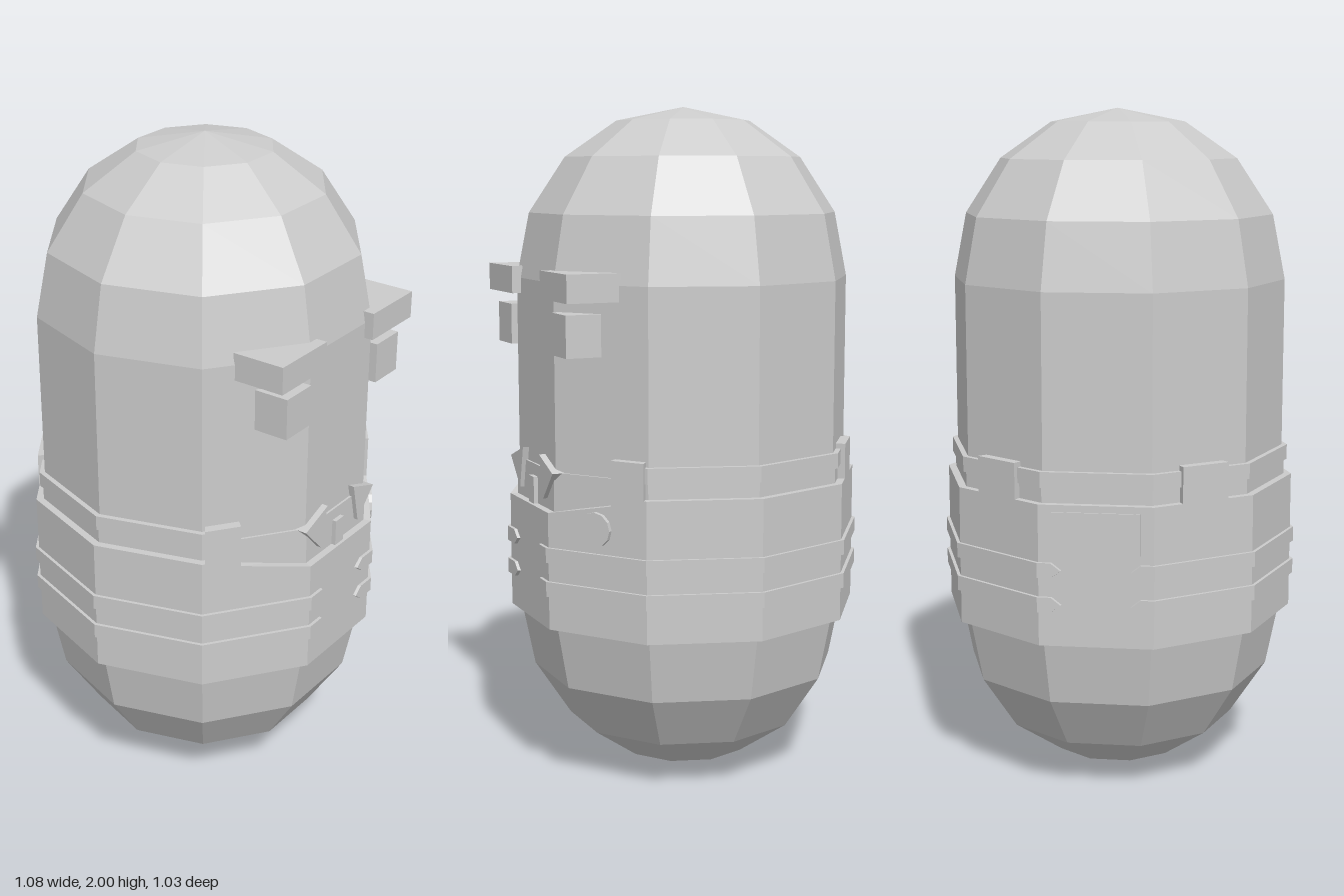
import * as THREE from 'three';

const material = new THREE.MeshStandardMaterial({ color: 0xcccccc, flatShading: true });

function add(group, name, geometry, x = 0, y = 0, z = 0) {
  const mesh = new THREE.Mesh(geometry, material);
  mesh.name = name;
  mesh.position.set(x, y, z);
  group.add(mesh);
  return mesh;
}

// Point on a ten-sided outline; degrees run from the front (+z) towards +x
function onDecagon(deg, radius) {
  const inFace = ((((deg + 18) % 36) + 36) % 36) - 18;
  const d = radius * Math.cos(Math.PI / 10) / Math.cos(THREE.MathUtils.degToRad(inFace));
  const a = THREE.MathUtils.degToRad(deg);
  return [Math.sin(a) * d, Math.cos(a) * d];
}

// Wall wrapped round the decagon; stations are [degrees, bottom, top]
function wrap(stations, inner, outer) {
  const full = [stations[0]];
  for (let i = 1; i < stations.length; i++) {
    const [a0, b0, t0] = stations[i - 1];
    const [a1, b1, t1] = stations[i];
    for (let c = 18 + 36 * Math.ceil((a0 - 18 + 0.01) / 36); c < a1 - 0.01; c += 36) {
      const k = (c - a0) / (a1 - a0);
      full.push([c, b0 + (b1 - b0) * k, t0 + (t1 - t0) * k]);
    }
    full.push(stations[i]);
  }
  const sections = full.map(([a, b, t]) => {
    const [ox, oz] = onDecagon(a, outer);
    const [ix, iz] = onDecagon(a, inner);
    return [[ox, b, oz], [ox, t, oz], [ix, t, iz], [ix, b, iz]];
  });
  const pos = [];
  const quad = (a, b, c, d) => pos.push(...a, ...b, ...c, ...a, ...c, ...d);
  for (let i = 0; i < sections.length - 1; i++) {
    const A = sections[i], B = sections[i + 1];
    for (let j = 0; j < 4; j++) quad(A[j], B[j], B[(j + 1) % 4], A[(j + 1) % 4]);
  }
  quad(...sections[0]);
  quad(...[...sections[sections.length - 1]].reverse());
  const geometry = new THREE.BufferGeometry();
  geometry.setAttribute('position', new THREE.Float32BufferAttribute(pos, 3));
  geometry.computeVertexNormals();
  return geometry;
}

const mirrored = (stations) => stations.map(([a, b, t]) => [-a, b, t]).reverse();

export function createModel() {
  const group = new THREE.Group();

  // Ten-sided capsule body
  const half = [[0, 0], [0.2, 0.04], [0.354, 0.146], [0.462, 0.309], [0.5, 0.5]];
  const profile = [...half, ...half.map(([r, y]) => [r, 2 - y]).reverse()]
    .map(([r, y]) => new THREE.Vector2(r, y));
  add(group, 'body', new THREE.LatheGeometry(profile, 10, Math.PI / 2));

  // Overalls: low front, raised straps at front and back
  const side = [
    [18, 0.5, 0.845], [41.5, 0.5, 0.885],
    [41.5, 0.5, 1.015], [53, 0.5, 1.015],
    [53, 0.5, 0.91], [135, 0.5, 0.91],
    [135, 0.5, 1.015], [152, 0.5, 1.015],
    [152, 0.5, 0.91], [180, 0.5, 0.91],
  ];
  add(group, 'overalls', wrap([...mirrored(side), ...side], 0.48, 0.53));

  // Shirt and its raised upper hem
  add(group, 'shirt', wrap([[-180, 0.83, 0.96], [180, 0.83, 0.96]], 0.48, 0.507));
  add(group, 'shirtHem', wrap([[47, 0.955, 1], [313, 0.955, 1]], 0.48, 0.516));

  // Piping with pointed ends, open at front and back
  for (const y of [0.722, 0.622]) {
    const piping = [
      [9, y, y], [12, y - 0.022, y + 0.022],
      [166, y - 0.022, y + 0.022], [169, y, y],
    ];
    add(group, 'leftPiping', wrap(piping, 0.5, 0.54));
    add(group, 'rightPiping', wrap(mirrored(piping), 0.5, 0.54));
  }

  for (const s of [1, -1]) {
    const label = s > 0 ? 'left' : 'right';

    // Brow and eye blocks
    add(group, label + 'Brow', new THREE.BoxGeometry(0.21, 0.08, 0.16), s * 0.225, 1.495, 0.423);
    add(group, label + 'Eye', new THREE.BoxGeometry(0.115, 0.12, 0.105), s * 0.228, 1.36, 0.437);

    // Collar point
    const point = new THREE.Shape([[0.07, 1], [0.1, 0.875], [0.18, 0.96]]
      .map(([x, y]) => new THREE.Vector2(s * x, y)));
    add(group, label + 'CollarPoint',
      new THREE.ExtrudeGeometry(point, { depth: 0.05, bevelEnabled: false }), 0, 0, 0.445);
  }

  // Small tab below the collar
  add(group, 'neckTab', new THREE.BoxGeometry(0.042, 0.09, 0.04), 0, 0.88, 0.475);

  // Round badge on the left front face
  const badge = add(group, 'badge',
    new THREE.CylinderGeometry(0.05, 0.05, 0.02, 12).rotateX(Math.PI / 2));
  const badgeAngle = Math.PI / 5;
  badge.position.set(Math.sin(badgeAngle) * 0.507, 0.815, Math.cos(badgeAngle) * 0.507);
  badge.rotation.y = badgeAngle;

  // Back pocket
  add(group, 'backPocket', new THREE.BoxGeometry(0.25, 0.12, 0.02), 0, 0.83, -0.499);

  return group;
}
